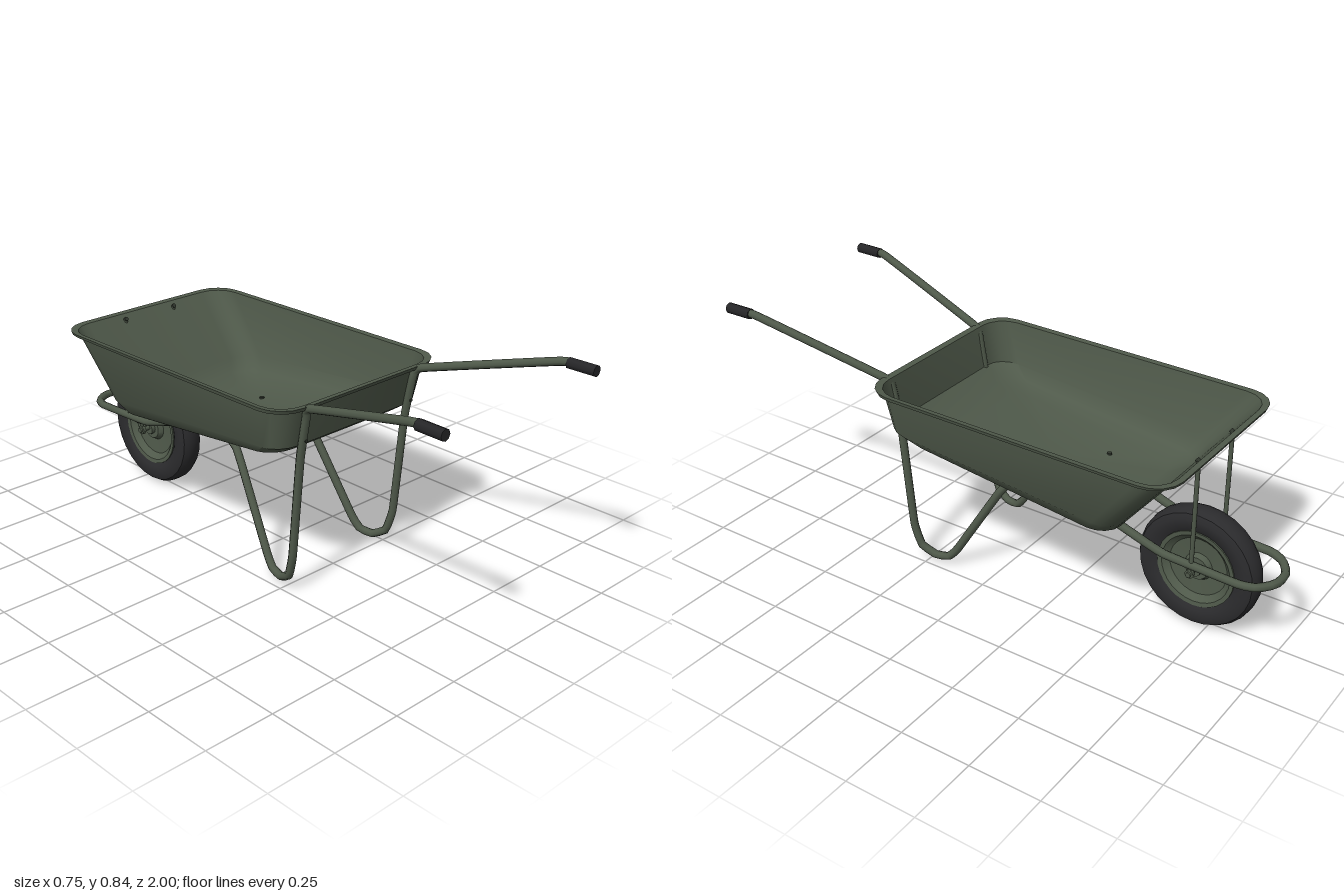
import * as THREE from 'three';
import { toCreasedNormals } from 'three/addons/utils/BufferGeometryUtils.js';

const V = (x, y, z) => new THREE.Vector3(x, y, z);

export function createModel() {
  const model = new THREE.Group();
  model.name = 'wheelbarrow';
  const paint = (name, color, side = THREE.FrontSide) =>
    Object.assign(new THREE.MeshStandardMaterial({ color, side }), { name });
  const green = paint('greenPaint', 0x4f594a, THREE.DoubleSide);
  const rubber = paint('blackRubber', 0x2b2b2d);
  const grip = paint('gripRubber', 0x262628);
  const bolt = paint('darkBolt', 0x30362d);

  const add = (name, geometry, material, parent = model) => {
    const mesh = new THREE.Mesh(geometry, material);
    mesh.name = name;
    parent.add(mesh);
    return mesh;
  };
  // Straight rod between two points
  const rod = (name, a, b, r, material, sides = 8) => {
    const mesh = add(name, new THREE.CylinderGeometry(r, r, a.distanceTo(b), sides), material);
    mesh.position.copy(a).add(b).multiplyScalar(0.5);
    mesh.quaternion.setFromUnitVectors(V(0, 1, 0), b.clone().sub(a).normalize());
    return mesh;
  };

  // Tray: rounded rectangles [half width, z at wheel, z at handles, y at wheel, y at handles, corner radius]
  const rings = [
    [0.372, -0.757, 0.380, 0.676, 0.684, 0.10],
    [0.375, -0.760, 0.385, 0.686, 0.697, 0.10],
    [0.355, -0.738, 0.363, 0.684, 0.694, 0.09],
    [0.333, -0.560, 0.335, 0.465, 0.548, 0.08],
    [0.305, -0.525, 0.280, 0.420, 0.510, 0.08],
    [0.250, -0.455, 0.200, 0.395, 0.485, 0.07],
  ];
  const corner = 5, n = corner * 4, pos = [], index = [];
  for (const [w, z0, z1, y0, y1, r] of rings) {
    for (let i = 0; i < n; i++) {
      const q = Math.floor(i / corner);
      const a = (q + (i % corner) / (corner - 1)) * Math.PI / 2;
      const sx = q === 0 || q === 3 ? 1 : -1, sz = q < 2 ? 1 : -1;
      const x = sx * (w - r) + r * Math.cos(a);
      const z = (sz > 0 ? z1 - r : z0 + r) + r * Math.sin(a);
      pos.push(x, y0 + (y1 - y0) * (z - z0) / (z1 - z0), z);
    }
  }
  for (let k = 0; k < rings.length - 1; k++) {
    for (let i = 0; i < n; i++) {
      const a = k * n + i, b = k * n + (i + 1) % n;
      index.push(a, b, b + n, a, b + n, a + n);
    }
  }
  const last = (rings.length - 1) * n;
  pos.push(0, 0.44, -0.1275);
  for (let i = 0; i < n; i++) index.push(last + i, last + (i + 1) % n, last + n);
  const tray = new THREE.BufferGeometry();
  tray.setAttribute('position', new THREE.Float32BufferAttribute(pos, 3));
  tray.setIndex(index);
  add('tray', toCreasedNormals(tray, 0.65), green);

  // Frame: one bent tube from handle to handle around the wheel
  const half = [
    [0.345, 0.825, 0.98], [0.343, 0.825, 0.88], [0.255, 0.69, 0.39], [0.246, 0.66, 0.365],
    [0.243, 0.50, 0.335], [0.241, 0.14, 0.300], [0.234, 0.055, 0.275], [0.222, 0.026, 0.225],
    [0.212, 0.03, 0.175], [0.205, 0.07, 0.14], [0.175, 0.34, -0.02], [0.165, 0.39, -0.06],
    [0.155, 0.408, -0.11], [0.135, 0.398, -0.22], [0.118, 0.375, -0.36], [0.113, 0.33, -0.49],
    [0.112, 0.29, -0.62], [0.112, 0.278, -0.89], [0.09, 0.274, -0.945], [0.04, 0.272, -0.98],
  ].map((p) => V(...p));
  const path = [...half, V(0, 0.271, -0.985), ...half.map((p) => V(-p.x, p.y, p.z)).reverse()];
  const bend = new THREE.CatmullRomCurve3(path, false, 'catmullrom', 0.15);
  add('frame', new THREE.TubeGeometry(bend, 200, 0.0145, 8), green);

  // Grips, struts, axle brackets and bolts on both sides
  for (const s of [1, -1]) {
    const side = s > 0 ? 'left' : 'right';
    rod(side + 'Grip', V(s * 0.345, 0.825, 0.9), V(s * 0.347, 0.825, 1), 0.019, grip);
    rod(side + 'Strut', V(s * 0.112, 0.28, -0.722), V(s * 0.112, 0.668, -0.722), 0.008, green);
    const bracket = new THREE.CatmullRomCurve3(
      [V(s * 0.112, 0.278, -0.7), V(s * 0.095, 0.262, -0.7), V(s * 0.077, 0.25, -0.7), V(s * 0.075, 0.215, -0.7)]);
    add(side + 'AxleBracket', new THREE.TubeGeometry(bracket, 10, 0.006, 6), green);
    rod(side + 'AxleNut', V(s * 0.068, 0.222, -0.7), V(s * 0.08, 0.222, -0.7), 0.017, green, 6);
    rod(side + 'FloorBolt', V(s * 0.14, 0.420, -0.26), V(s * 0.14, 0.427, -0.26), 0.009, bolt);
    rod(side + 'StrutBolt', V(s * 0.112, 0.664, -0.725), V(s * 0.112, 0.671, -0.715), 0.008, bolt);
    rod(side + 'LegBolt', V(s * 0.243, 0.57, 0.335), V(s * 0.243, 0.57, 0.364), 0.006, bolt);
  }

  // Wheel: lathe profiles turned about the axle
  const wheel = new THREE.Group();
  wheel.name = 'wheel';
  wheel.position.set(0, 0.217, -0.7);
  wheel.rotation.z = Math.PI / 2;
  model.add(wheel);
  const lathe = (pts) => toCreasedNormals(
    new THREE.LatheGeometry(pts.map((p) => new THREE.Vector2(...p)), 28), 0.6);
  add('tyre', lathe([
    [0.135, -0.03], [0.155, -0.042], [0.185, -0.046], [0.205, -0.038], [0.215, -0.02],
    [0.217, 0], [0.215, 0.02], [0.205, 0.038], [0.185, 0.046], [0.155, 0.042], [0.135, 0.03], [0.135, -0.03],
  ]), rubber, wheel);
  add('wheelDisc', lathe([
    [0, -0.03], [0.04, -0.03], [0.05, -0.012], [0.105, -0.016], [0.125, -0.036], [0.14, -0.038],
    [0.14, 0.038], [0.125, 0.036], [0.105, 0.016], [0.05, 0.012], [0.04, 0.03], [0, 0.03],
  ]), green, wheel);
  add('hub', new THREE.CylinderGeometry(0.022, 0.022, 0.09, 12), green, wheel);
  rod('axle', V(-0.087, 0.222, -0.7), V(0.087, 0.222, -0.7), 0.009, green);

  return model;
}
